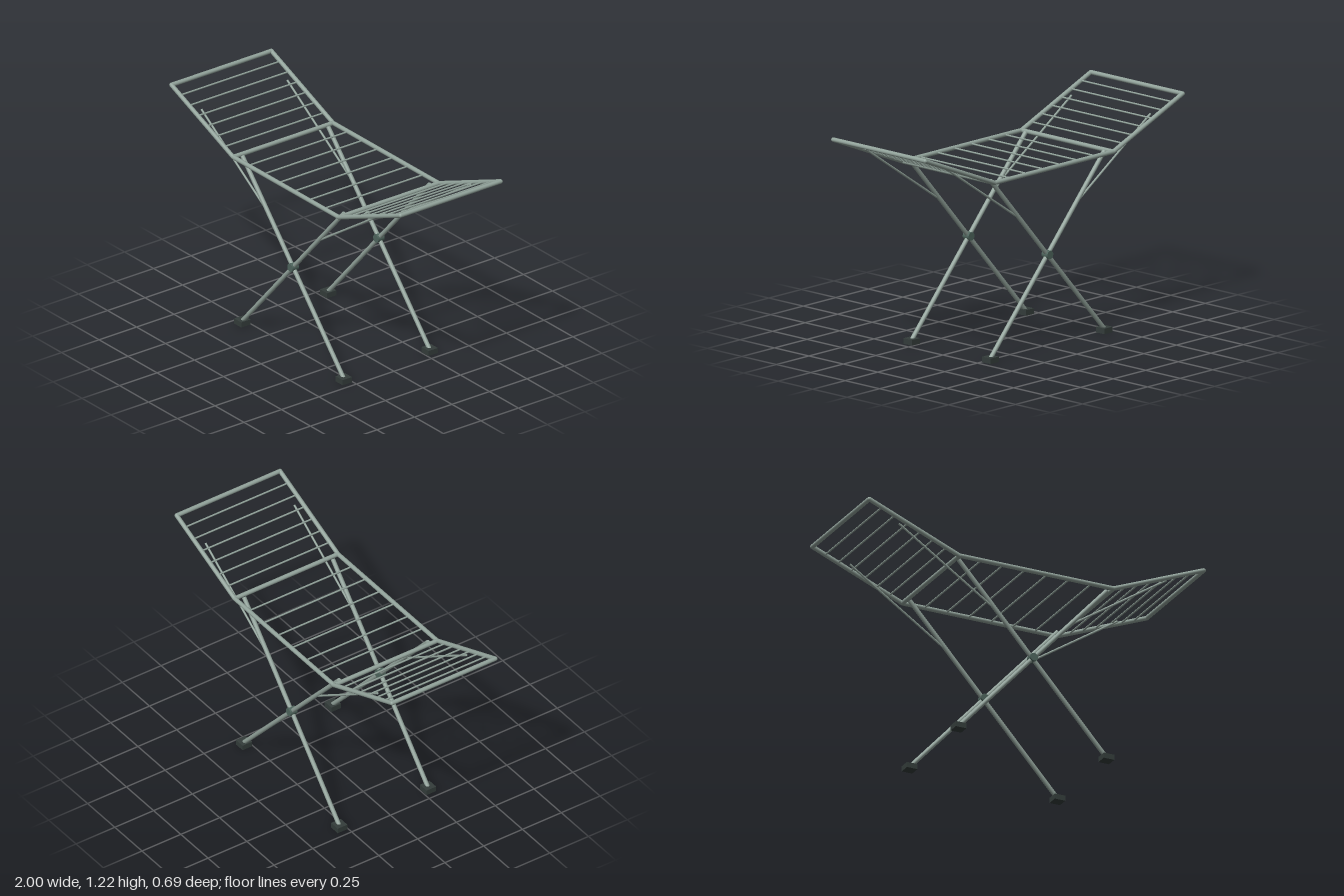
import * as THREE from 'three';

const KNEE = 0.456, KNEE_Y = 0.988, TIP = 0.988, TIP_Y = 1.205;
const RAIL_Z = 0.333, LEG_Z = 0.286, FOOT_X = 0.437;
const TUBE = 0.0122, WIRE = 0.005;

const mat = (name, color) => {
  const m = new THREE.MeshStandardMaterial({ color });
  m.name = name;
  return m;
};

export function createModel() {
  const group = new THREE.Group();
  const frame = mat('greyGreenMetal', 0x91a29a);
  const joint = mat('darkGreenJoint', 0x4f665e);
  const rubber = mat('darkRubber', 0x343d3b);

  const add = (name, geometry, material, x = 0, y = 0, z = 0) => {
    const mesh = new THREE.Mesh(geometry, material);
    mesh.name = name;
    mesh.position.set(x, y, z);
    group.add(mesh);
    return mesh;
  };
  // round bar between two points
  const bar = (name, a, b, r, sides = 14) => {
    const p = new THREE.Vector3(...a), q = new THREE.Vector3(...b);
    const dir = q.clone().sub(p);
    const mid = p.clone().add(q).multiplyScalar(0.5);
    const mesh = add(name, new THREE.CylinderGeometry(r, r, dir.length(), sides), frame, mid.x, mid.y, mid.z);
    mesh.quaternion.setFromUnitVectors(new THREE.Vector3(0, 1, 0), dir.normalize());
  };
  const across = (name, x, y, r, sides) => bar(name, [x, y, -RAIL_Z], [x, y, RAIL_Z], r, sides);

  // side rails with rounded corners, legs, pivots and feet
  for (const s of [-1, 1]) {
    const z = s * RAIL_Z, lz = s * LEG_Z;
    bar('centreRail', [-KNEE, KNEE_Y, z], [KNEE, KNEE_Y, z], TUBE);
    for (const d of [-1, 1]) {
      bar('wingRail', [d * KNEE, KNEE_Y, z], [d * TIP, TIP_Y, z], TUBE);
      for (const [x, y] of [[KNEE, KNEE_Y], [TIP, TIP_Y]])
        add('railCorner', new THREE.SphereGeometry(TUBE, 14, 10), frame, d * x, y, z);
      bar('leg', [d * FOOT_X, 0.02, lz], [-d * FOOT_X, KNEE_Y, lz], TUBE);
      bar('wingStrut', [d * 0.212, 0.74, lz], [d * 0.79, 1.124, lz], 0.006, 10);
      add('foot', new THREE.BoxGeometry(0.062, 0.03, 0.062), rubber, d * FOOT_X, 0.015, lz);
    }
    add('pivot', new THREE.CylinderGeometry(0.023, 0.023, 0.043, 14), joint, 0, 0.506, lz).rotation.x = Math.PI / 2;
  }

  // cross bars at knees and wing tips
  for (const d of [-1, 1]) {
    across('kneeBar', d * KNEE, KNEE_Y, TUBE);
    across('tipBar', d * TIP, TIP_Y, TUBE);
  }

  // six drying wires in each panel
  for (let i = 1; i <= 6; i++) {
    const t = i / 7;
    across('centreWire', THREE.MathUtils.lerp(-KNEE, KNEE, t), KNEE_Y, WIRE, 8);
    for (const d of [-1, 1])
      across('wingWire', d * THREE.MathUtils.lerp(KNEE, TIP, t), THREE.MathUtils.lerp(KNEE_Y, TIP_Y, t), WIRE, 8);
  }
  return group;
}
